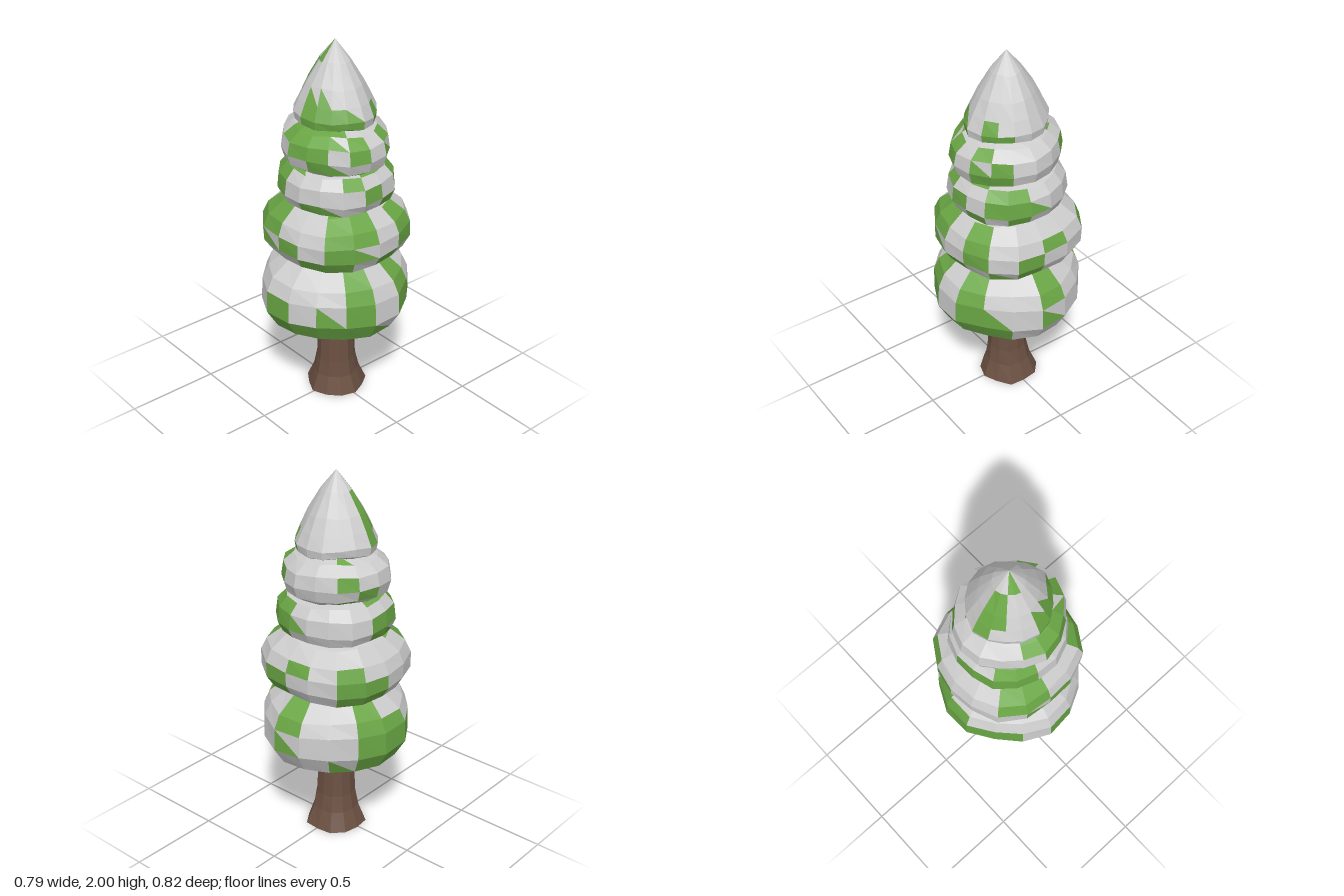
import * as THREE from 'three';

const SEGMENTS = 16;
const snowMat = new THREE.MeshStandardMaterial({ color: 0xcccccc, flatShading: true });
const needleMat = new THREE.MeshStandardMaterial({ color: 0x69a544, flatShading: true });
const barkMat = new THREE.MeshStandardMaterial({ color: 0x6b5042, flatShading: true });

// Foliage tiers, bottom to top. profile: [radius, height] from top to bottom.
// depth: z radius relative to the x radius. bulge: extra radius along x and z,
// taken from the diagonals (negative the other way round).
// mask: one row per band, one sign per column, starting at +z and turning to +x.
// '#' needles, '.' snow, '/' a quad split diagonally between both.
const TIERS = [
  {
    name: 'bottomTier', turn: 2, tilt: 0, depth: 1.02, bulge: 0.03, shift: [0, 0],
    profile: [[0.175, 0.9], [0.267, 0.857], [0.358, 0.78], [0.39, 0.71], [0.395, 0.59], [0.34, 0.492], [0.2, 0.428], [0.1, 0.39], [0, 0.385]],
    mask: ['.##.............', '...#.#..#..#....', '...#.#..#..##...', '#./#.#/./..####.',
      '####/##.../####/', '########/..#####', '################', '################'],
  },
  {
    name: 'lowerTier', turn: 7, tilt: 0.02, depth: 0.975, bulge: -0.035, shift: [-0.003, -0.004],
    profile: [[0.175, 1.2], [0.273, 1.16], [0.352, 1.095], [0.381, 1.03], [0.38, 0.95], [0.343, 0.89], [0.26, 0.855], [0, 0.85]],
    mask: ['..##.........###', '..##.#........##', '..##.#..#.#...##', '#.#/.#.#..##.../',
      '.##.#./#..##....', '.##.##.#..##....', '################'],
  },
  {
    name: 'middleTier', turn: 0, tilt: 0, depth: 0.98, bulge: -0.015, shift: [0, -0.003],
    profile: [[0.17, 1.39], [0.25, 1.363], [0.294, 1.312], [0.304, 1.23], [0.281, 1.18], [0.207, 1.145], [0, 1.135]],
    mask: ['/...##......####', '...#..##......##', '....#.##/...####', '.#/..#.#....#/..',
      '#.#..#.##...##..', '################'],
  },
  {
    name: 'upperTier', turn: 7, tilt: -0.03, depth: 0.95, bulge: 0.035, shift: [0.002, 0.003],
    profile: [[0.155, 1.603], [0.22, 1.575], [0.278, 1.53], [0.292, 1.46], [0.274, 1.402], [0.207, 1.362], [0, 1.35]],
    mask: ['###......./....#', '##/#.#.........#', '##.#./#...#.....', '.#/..##....#....',
      '...#..#...#.....', '################'],
  },
  {
    name: 'topTier', turn: 10, tilt: -0.035, depth: 0.97, bulge: 0.035, shift: [0, 0.003],
    profile: [[0, 2], [0.08, 1.9], [0.148, 1.79], [0.188, 1.71], [0.218, 1.645], [0.212, 1.607], [0.16, 1.584], [0, 1.572]],
    mask: ['..............##', '............##..', '//..........##..', '###/.#......#...',
      '####.##.........', '.###..#.#....#..', '................'],
  },
];

function flatMesh(name, corners, material) {
  const geometry = new THREE.BufferGeometry().setFromPoints(corners);
  geometry.computeVertexNormals();
  const mesh = new THREE.Mesh(geometry, material);
  mesh.name = name;
  return mesh;
}

// A faceted, slightly uneven ring of foliage, split into needle and snow faces
function buildTier({ name, turn, tilt, depth, bulge, shift, profile, mask }, index) {
  const lean = Math.tan(tilt);
  const point = (row, col) => {
    const [r, y] = profile[row];
    const c = col % SEGMENTS;
    const phi = ((c - 0.5) * 360 / SEGMENTS + turn) * Math.PI / 180;
    const uneven = r * (1 + bulge * Math.cos(4 * phi) + 0.012 * Math.sin(c * 2.4 + row * 0.6 + index * 2));
    const x = uneven * Math.sin(phi);
    const drift = r > 0 ? 0.005 * Math.sin(c * 1.7 + row + index) : 0;
    return new THREE.Vector3(x + shift[0], y + x * lean + drift, uneven * depth * Math.cos(phi) + shift[1]);
  };
  const snow = [];
  const needles = [];
  for (let row = 0; row < profile.length - 1; row++) {
    for (let col = 0; col < SEGMENTS; col++) {
      const a = point(row, col), b = point(row, col + 1);
      const c = point(row + 1, col + 1), d = point(row + 1, col);
      const sign = mask[row][col];
      const lower = sign === '.' ? snow : needles;
      const upper = sign === '#' ? needles : snow;
      const isTip = profile[row][0] === 0;
      const isBase = profile[row + 1][0] === 0;
      if (isBase) lower.push(a, d, b);
      else lower.push(a, d, c);
      if (!isTip && !isBase) upper.push(a, c, b);
    }
  }
  const tier = new THREE.Group();
  tier.name = name;
  tier.add(flatMesh('needles', needles, needleMat), flatMesh('snow', snow, snowMat));
  return tier;
}

// Trunk with a flared, lobed foot and a closed base
function buildTrunk() {
  const profile = [[0, 0], [0.16, 0], [0.122, 0.1], [0.106, 0.19], [0.096, 0.4], [0.09, 0.5]]
    .map(([r, y]) => new THREE.Vector2(r, y));
  const geometry = new THREE.LatheGeometry(profile, 12);
  const pos = geometry.attributes.position;
  for (let i = 0; i < pos.count; i++) {
    const x = pos.getX(i), y = pos.getY(i), z = pos.getZ(i);
    const flare = Math.max(0, 1 - y / 0.2);
    const k = 1 + (0.02 + 0.035 * flare) * Math.sin(Math.atan2(x, z) * 5 + 1);
    pos.setXYZ(i, x * k - 0.006 * flare, y, z * k - 0.008 * flare);
  }
  const flat = geometry.toNonIndexed();
  flat.computeVertexNormals();
  const trunk = new THREE.Mesh(flat, barkMat);
  trunk.name = 'trunk';
  return trunk;
}

export function createModel() {
  const tree = new THREE.Group();
  tree.name = 'snowyTree';
  tree.add(buildTrunk(), ...TIERS.map(buildTier));
  return tree;
}
